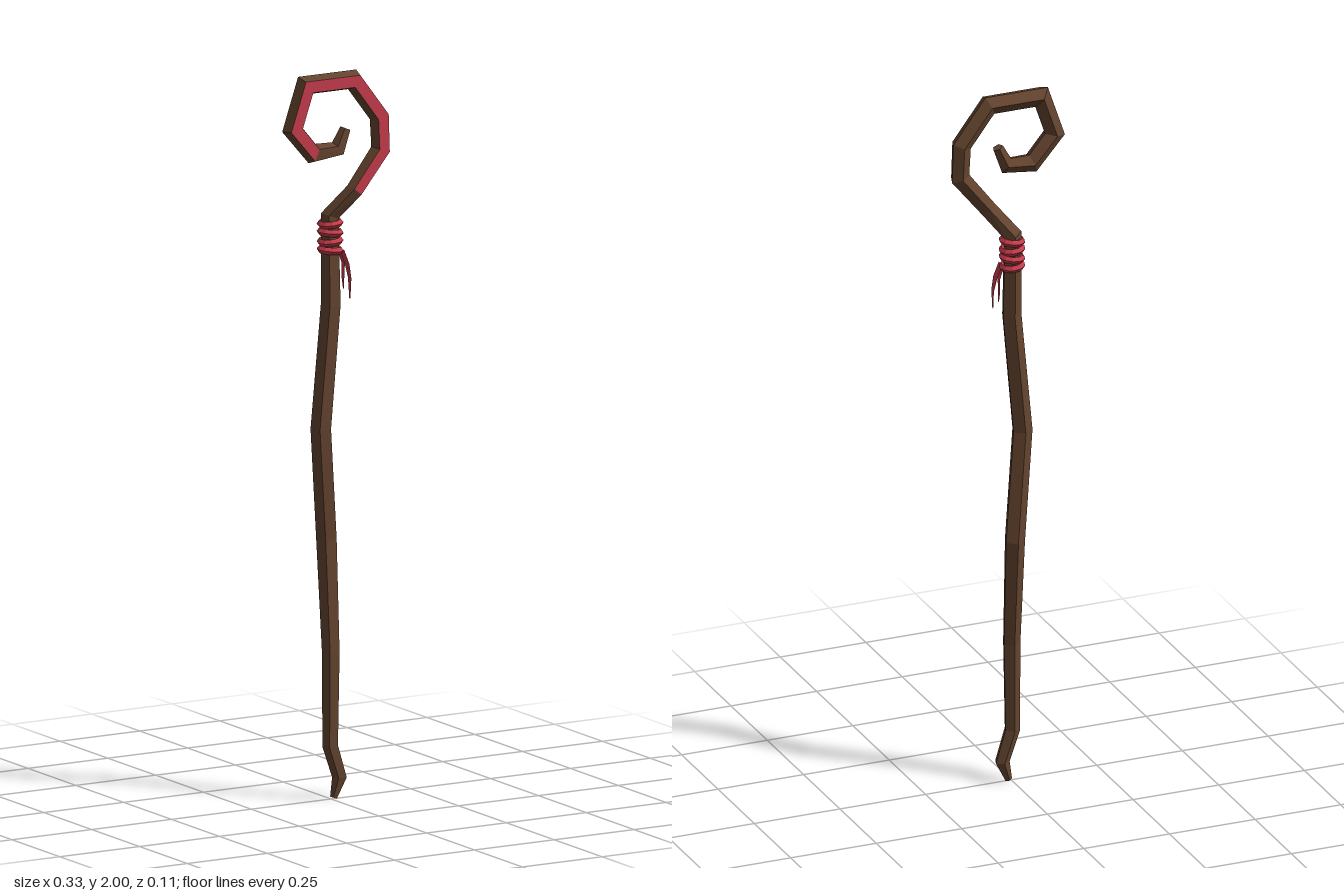
import * as THREE from 'three';

const wood = new THREE.MeshStandardMaterial({ color: 0x64442f });
wood.name = 'brown wood';
wood.flatShading = true;
const red = new THREE.MeshStandardMaterial({ color: 0xc83c4c });
red.name = 'red cloth';
red.flatShading = true;
red.side = THREE.DoubleSide;

// Pentagon section: flat side to the front, ridge to the back
const SECTION = [[0.59, 0.81], [0.95, -0.31], [0, -1], [-0.95, -0.31], [-0.59, 0.81]];

// Mitred pentagon rings along a path of [x, y, z, radius]
function makeRings(path) {
  const normals = path.slice(1).map((p, i) => {
    const d = new THREE.Vector2(p[0] - path[i][0], p[1] - path[i][1]).normalize();
    return new THREE.Vector2(d.y, -d.x);
  });
  return path.map(([x, y, z, r], i) => {
    const a = normals[Math.max(i - 1, 0)];
    const b = normals[Math.min(i, normals.length - 1)];
    const m = a.clone().add(b).divideScalar(1 + a.dot(b));
    return SECTION.map(([u, v]) => [x + m.x * u * r, y + m.y * u * r, z + v * r]);
  });
}

function meshFromTriangles(name, triangles, material) {
  const g = new THREE.BufferGeometry();
  g.setAttribute('position', new THREE.Float32BufferAttribute(triangles.flat(), 3));
  g.computeVertexNormals();
  const mesh = new THREE.Mesh(g, material);
  mesh.name = name;
  return mesh;
}

// Flat tapering strip, spread along z
function ribbon(name, points) {
  const tris = [];
  for (let i = 0; i < points.length - 1; i++) {
    const [[ax, ay, az, aw], [bx, by, bz, bw]] = [points[i], points[i + 1]];
    const a = [ax, ay, az - aw], b = [ax, ay, az + aw];
    const c = [bx, by, bz + bw], d = [bx, by, bz - bw];
    tris.push(a, b, c, a, c, d);
  }
  return meshFromTriangles(name, tris, red);
}

export function createModel() {
  const model = new THREE.Group();
  model.name = 'crookedStaff';

  // Crooked shaft, neck and curled hook in one sweep
  const path = [
    [0.008, 0, 0, 0.01], [0.027, 0.055, 0, 0.02], [-0.002, 0.145, 0, 0.022],
    [0, 0.4, 0, 0.025], [0.002, 0.71, -0.026, 0.029], [-0.03, 1.02, -0.002, 0.029],
    [0, 1.36, 0, 0.028], [0, 1.6, -0.006, 0.025],
    [0.055, 1.67, 0.03, 0.024], [0.138, 1.775, 0.03, 0.026], [0.134, 1.868, 0.03, 0.027],
    [0.053, 1.975, 0.03, 0.027], [-0.098, 1.975, 0.03, 0.027], [-0.137, 1.86, 0.03, 0.027],
    [-0.073, 1.785, 0.03, 0.026], [0.003, 1.79, 0.03, 0.021], [0.027, 1.845, 0.03, 0.015],
  ];
  const paintFrom = 8, paintTo = 14;
  const rings = makeRings(path);
  const woodTris = [], paintTris = [];
  for (let i = 0; i < rings.length - 1; i++) {
    for (let j = 0; j < 5; j++) {
      const k = (j + 1) % 5;
      const [a, b, c, d] = [rings[i][j], rings[i][k], rings[i + 1][k], rings[i + 1][j]];
      const painted = j === 4 && i >= paintFrom && i < paintTo;
      (painted ? paintTris : woodTris).push(a, b, c, a, c, d);
    }
  }
  // End caps
  const foot = rings[0], tip = rings[rings.length - 1];
  for (let j = 1; j < 4; j++) {
    woodTris.push(foot[0], foot[j + 1], foot[j], tip[0], tip[j], tip[j + 1]);
  }
  model.add(meshFromTriangles('shaftAndHook', woodTris, wood));
  model.add(meshFromTriangles('hookFrontInlay', paintTris, red));

  // Cord wound around the neck
  const wrap = new THREE.Group();
  wrap.name = 'cordWrap';
  for (let i = 0; i < 4; i++) {
    const ring = new THREE.Mesh(new THREE.TorusGeometry(0.026, 0.0105, 5, 10), red);
    ring.name = 'cordTurn';
    ring.position.set(-0.001, 1.508 + i * 0.0245, -0.003);
    ring.rotation.set(Math.PI / 2, i % 2 ? 0.1 : -0.08, 0);
    wrap.add(ring);
  }
  model.add(wrap);

  // Loose cord ends hanging on the left
  model.add(ribbon('longCordEnd', [
    [0.024, 1.51, 0.016, 0.013], [0.038, 1.47, 0.02, 0.013],
    [0.044, 1.43, 0.024, 0.009], [0.041, 1.375, 0.03, 0.003],
  ]));
  model.add(ribbon('shortCordEnd', [
    [0.02, 1.51, 0.008, 0.009], [0.032, 1.47, 0.01, 0.009],
    [0.03, 1.43, 0.012, 0.007], [0.031, 1.4, 0.014, 0.003],
  ]));

  return model;
}
